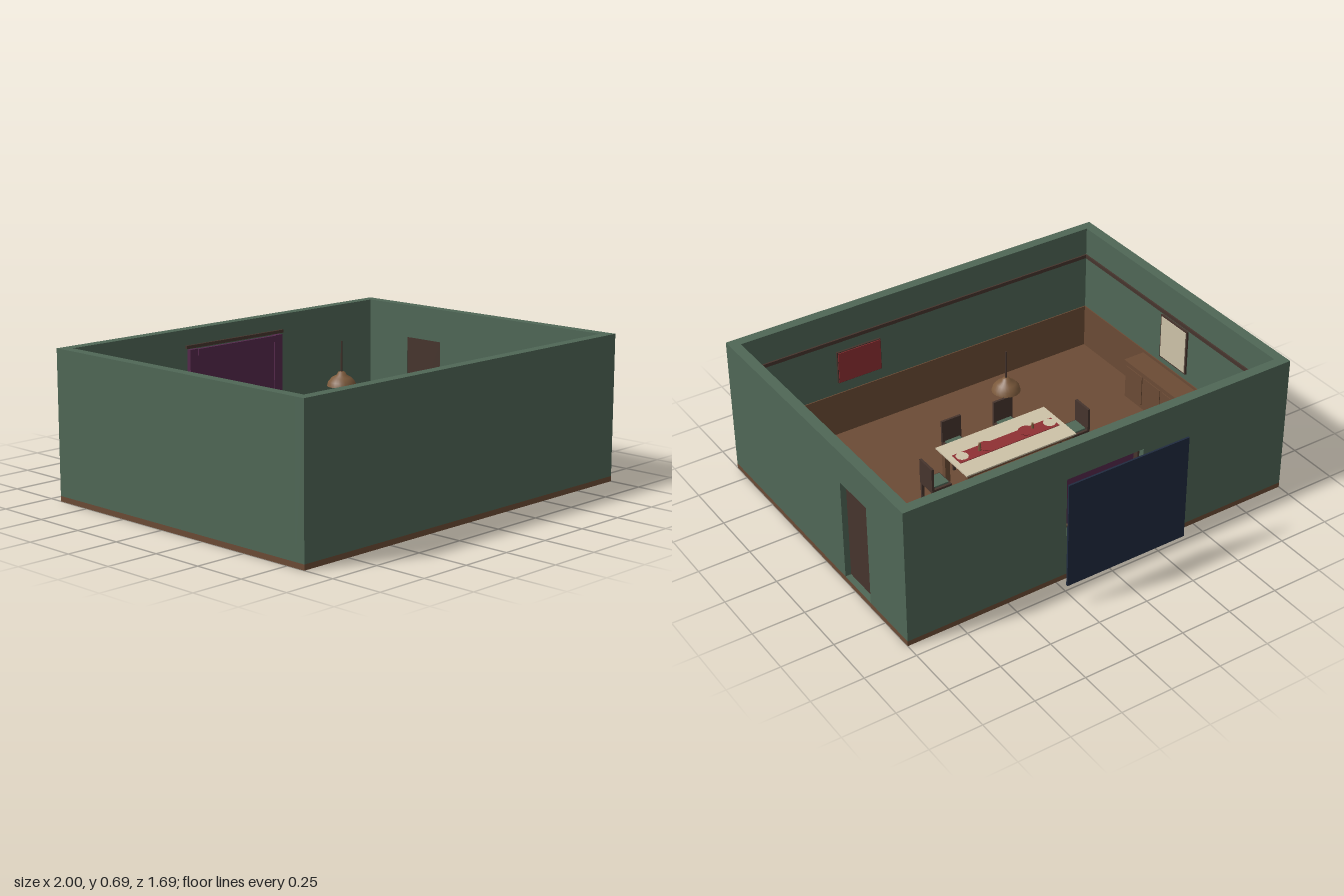
import * as THREE from 'three';

const mat = (name, color, side = THREE.FrontSide) => {
  const m = new THREE.MeshStandardMaterial({ color, side });
  m.name = name;
  return m;
};

export function createModel() {
  const green = mat('wall green', 0x4f6756);
  const wood = mat('warm wood', 0x6b4b35);
  const dark = mat('dark wood', 0x46342d);
  const cream = mat('cream', 0xcdc2a8);
  const red = mat('deep red', 0x8f3033);
  const purple = mat('curtain purple', 0x54294b);
  const navy = mat('night blue', 0x202b3f);
  const copper = mat('lamp copper', 0x7c5a3c, THREE.DoubleSide);
  const grey = mat('moon grey', 0xb4b4ac);

  const room = new THREE.Group();
  room.name = 'diningRoom';

  const add = (parent, name, geometry, material, x = 0, y = 0, z = 0) => {
    const m = new THREE.Mesh(geometry, material);
    m.name = name;
    m.position.set(x, y, z);
    parent.add(m);
    return m;
  };
  // Box given by its min and max on each axis
  const box = (parent, name, material, x0, x1, y0, y1, z0, z1) =>
    add(parent, name, new THREE.BoxGeometry(x1 - x0, y1 - y0, z1 - z0), material,
      (x0 + x1) / 2, (y0 + y1) / 2, (z0 + z1) / 2);
  const group = (name, x = 0, y = 0, z = 0) => {
    const g = new THREE.Group();
    g.name = name;
    g.position.set(x, y, z);
    room.add(g);
    return g;
  };
  // Wall slab 0.05 thick with one rectangular opening
  const rect = (path, a, b, c, d) => path.moveTo(a, c).lineTo(b, c).lineTo(b, d).lineTo(a, d).closePath();
  const openWall = (name, outer, hole) => {
    const shape = rect(new THREE.Shape(), ...outer);
    shape.holes.push(rect(new THREE.Path(), ...hole));
    return add(room, name, new THREE.ExtrudeGeometry(shape, { depth: 0.05, bevelEnabled: false }), green);
  };

  const F = 0.025, H = 0.69;

  // Floor and walls
  box(room, 'floor', wood, -1, 1, 0, F, -0.68, 0.845);
  box(room, 'frontWall', green, -1, 1, F, H, 0.795, 0.845);
  box(room, 'leftHandWall', green, -1, -0.95, F, H, -0.68, 0.795);
  openWall('backWall', [-0.95, 1, F, H], [-0.2, 0.2, 0.23, 0.53]).position.z = -0.68;
  const doorWall = openWall('doorWall', [-0.795, 0.63, F, H], [0.165, 0.38, F + 0.001, 0.53]);
  doorWall.rotation.y = Math.PI / 2;
  doorWall.position.x = 0.95;

  // Wainscot and picture rails
  box(room, 'frontWainscot', wood, -0.945, 0.95, F, 0.25, 0.79, 0.795);
  box(room, 'sideWainscot', wood, -0.95, -0.945, F, 0.25, -0.63, 0.795);
  box(room, 'frontRail', dark, -0.95, 0.95, 0.53, 0.548, 0.787, 0.795);
  box(room, 'sideRail', dark, -0.95, -0.942, 0.53, 0.548, -0.63, 0.795);

  // Door with knobs and a light switch
  box(room, 'door', dark, 0.952, 0.972, F, 0.53, -0.38, -0.165);
  box(room, 'lightSwitch', dark, 0.945, 0.95, 0.28, 0.305, -0.105, -0.088);

  // Window frame, sill and curtains
  const win = group('window');
  for (const s of [-1, 1]) {
    box(win, 'windowJamb', dark, s * 0.2 - 0.01, s * 0.2 + 0.01, 0.23, 0.53, -0.65, -0.622);
    box(win, 'sideDrape', purple, s * 0.27 - 0.025, s * 0.27 + 0.025, 0.165, 0.6, -0.618, -0.596);
  }
  box(win, 'windowHead', dark, -0.21, 0.21, 0.52, 0.54, -0.65, -0.622);
  box(win, 'windowSill', wood, -0.245, 0.245, 0.22, 0.235, -0.625, -0.592);
  box(win, 'curtain', purple, -0.25, 0.25, 0.165, 0.585, -0.612, -0.602);
  box(win, 'valance', purple, -0.25, 0.25, 0.57, 0.6, -0.606, -0.588);
  box(win, 'curtainRod', dark, -0.31, 0.31, 0.605, 0.62, -0.614, -0.602);

  // Night sky panel and moon behind the window
  box(room, 'skyPanel', navy, -0.31, 0.31, 0.12, 0.645, -0.848, -0.839);
  add(room, 'moon', new THREE.CylinderGeometry(0.053, 0.053, 0.005, 24), grey, 0.085, 0.467, -0.829)
    .rotation.x = Math.PI / 2;

  // Wall pictures
  box(room, 'redPictureFrame', dark, 0.24, 0.475, 0.31, 0.478, 0.785, 0.795);
  box(room, 'redPicture', red, 0.244, 0.471, 0.314, 0.474, 0.781, 0.786);
  box(room, 'mirrorFrame', dark, -0.95, -0.941, 0.285, 0.52, -0.03, 0.17);
  box(room, 'mirror', cream, -0.942, -0.938, 0.293, 0.512, -0.022, 0.162);

  // Sideboard
  const side = group('sideboard');
  box(side, 'sideboardBody', wood, -0.945, -0.837, F, 0.22, -0.13, 0.295);
  box(side, 'sideboardTop', wood, -0.945, -0.83, 0.22, 0.235, -0.135, 0.3);
  for (let i = 0; i < 3; i++) {
    const z = -0.12 + i * 0.14;
    box(side, 'sideboardDoor', wood, -0.838, -0.833, 0.045, 0.205, z, z + 0.125);
  }

  // Table with cloth and runner
  const table = group('table', 0, 0, 0.083);
  box(table, 'tableTop', wood, -0.29, 0.29, 0.185, 0.2, -0.125, 0.125);
  box(table, 'tablecloth', cream, -0.3, 0.3, 0.2, 0.207, -0.132, 0.132);
  box(table, 'runner', red, -0.272, 0.272, 0.207, 0.21, -0.036, 0.036);
  for (const sx of [-1, 1]) {
    for (const sz of [-1, 1]) {
      box(table, 'tableLeg', wood, sx * 0.265 - 0.013, sx * 0.265 + 0.013, F, 0.185,
        sz * 0.1 - 0.013, sz * 0.1 + 0.013);
    }
    add(table, 'plate', new THREE.CylinderGeometry(0.03, 0.022, 0.006, 24), cream, sx * 0.24, 0.213, 0);
    add(table, 'bowl', new THREE.CylinderGeometry(0.038, 0.025, 0.012, 24), red, sx * 0.11, 0.216, 0);
    add(table, 'candlestick', new THREE.CylinderGeometry(0.005, 0.008, 0.04, 12), copper, sx * 0.145, 0.23, 0);
  }

  // Six chairs, each facing the table
  const chair = (x, z, turn) => {
    const c = group('chair', x, 0, z);
    c.rotation.y = turn;
    box(c, 'seat', dark, -0.052, 0.052, 0.115, 0.13, -0.052, 0.052);
    box(c, 'cushion', green, -0.04, 0.04, 0.13, 0.138, -0.037, 0.043);
    box(c, 'chairBack', dark, -0.052, 0.052, 0.13, 0.245, -0.053, -0.041);
    for (const sx of [-1, 1]) for (const sz of [-1, 1]) {
      box(c, 'chairLeg', dark, sx * 0.045 - 0.006, sx * 0.045 + 0.006, F, 0.115,
        sz * 0.045 - 0.006, sz * 0.045 + 0.006);
    }
  };
  for (const s of [-1, 1]) {
    chair(s * 0.143, -0.118, 0);
    chair(s * 0.143, 0.284, Math.PI);
    chair(s * 0.382, 0.083, -s * Math.PI / 2);
  }

  // Hanging lamp
  const lamp = group('lamp', 0, 0, 0.083);
  const profile = [[0.066, 0.487], [0.06, 0.507], [0.044, 0.525], [0.022, 0.537], [0.016, 0.55], [0.003, 0.553]]
    .map(([r, y]) => new THREE.Vector2(r, y));
  add(lamp, 'lampShade', new THREE.LatheGeometry(profile, 24), copper);
  add(lamp, 'lampCord', new THREE.CylinderGeometry(0.004, 0.004, 0.138, 8), dark, 0, 0.621, 0);
  add(lamp, 'bulb', new THREE.SphereGeometry(0.016, 16, 12), cream, 0, 0.505, 0);

  return room;
}
